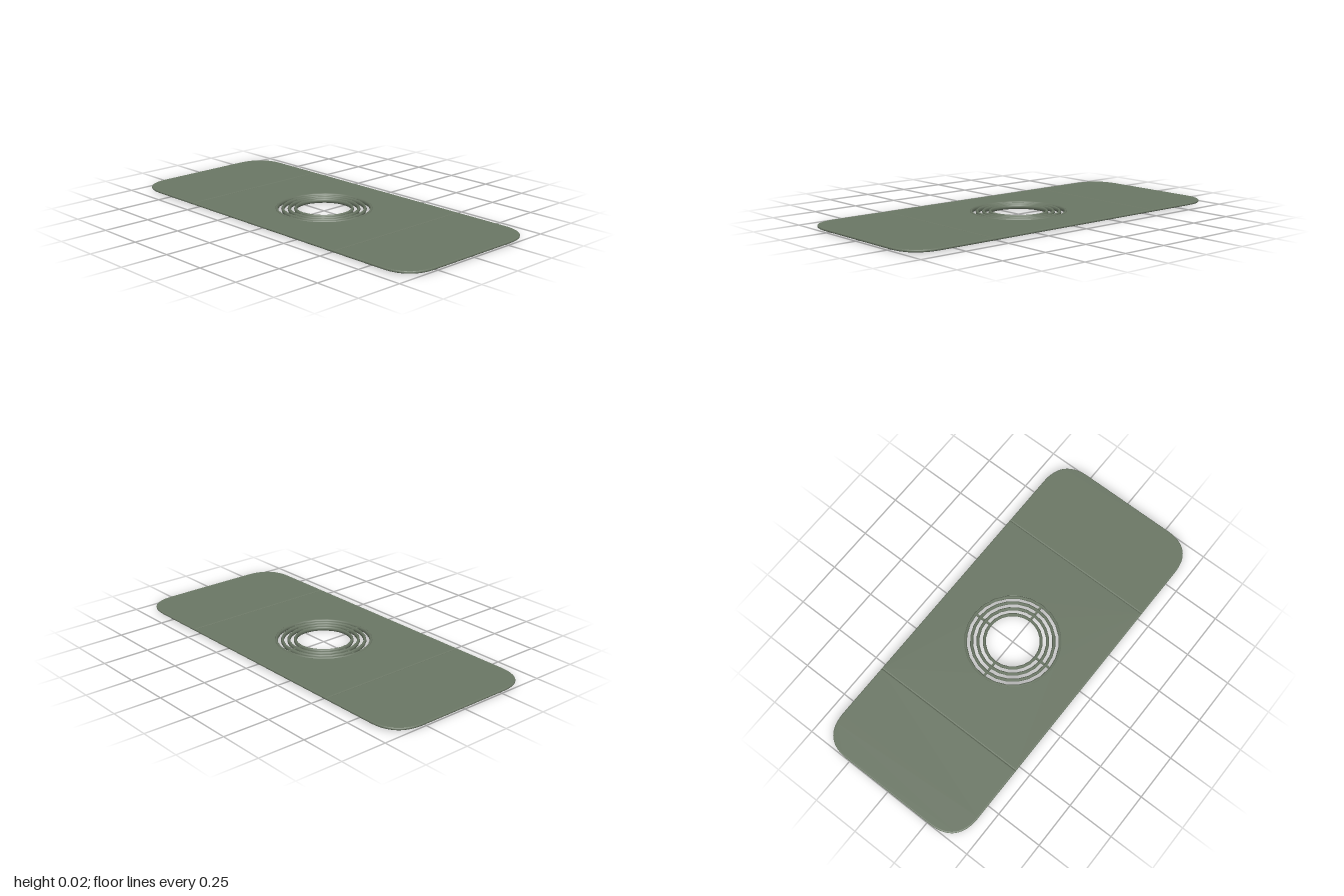
import * as THREE from 'three';

const MID = 0.0125; // height of the centre plane
const BEVEL = 0.006;

export function createModel() {
  const model = new THREE.Group();
  const material = new THREE.MeshStandardMaterial({ color: 0x6b7765 });

  const add = (name, geometry) => {
    const mesh = new THREE.Mesh(geometry, material);
    mesh.name = name;
    mesh.position.y = MID;
    model.add(mesh);
    return mesh;
  };

  // Thin flat panel with softly rounded edges, centred on its own thickness
  const panel = (shape) => {
    const g = new THREE.ExtrudeGeometry(shape, {
      depth: 0.001, bevelEnabled: true, bevelThickness: BEVEL, bevelSize: BEVEL,
      bevelSegments: 3, curveSegments: 24,
    });
    g.translate(0, 0, -0.0005);
    g.rotateX(-Math.PI / 2);
    return g;
  };

  const halfDepth = 0.435 - BEVEL;
  const seam = 0.53;
  const end = 1 - BEVEL;
  const corner = 0.165;

  // Centre panel with the round opening
  const centre = new THREE.Shape();
  const cx = seam - BEVEL;
  centre.moveTo(-cx, -halfDepth);
  centre.lineTo(cx, -halfDepth);
  centre.lineTo(cx, halfDepth);
  centre.lineTo(-cx, halfDepth);
  centre.closePath();
  const hole = new THREE.Path();
  hole.absarc(0, 0, 0.245 + BEVEL, 0, Math.PI * 2, true);
  centre.holes.push(hole);
  add('centrePanel', panel(centre));

  // End panels, rounded on their outer corners and meeting the centre at a groove
  const side = new THREE.Shape();
  side.moveTo(seam + BEVEL, -halfDepth);
  side.lineTo(end - corner, -halfDepth);
  side.quadraticCurveTo(end, -halfDepth, end, -halfDepth + corner);
  side.lineTo(end, halfDepth - corner);
  side.quadraticCurveTo(end, halfDepth, end - corner, halfDepth);
  side.lineTo(seam + BEVEL, halfDepth);
  side.closePath();
  add('leftPanel', panel(side));
  add('rightPanel', panel(side)).rotation.y = Math.PI;

  // Concentric rings of the grille
  [0.147, 0.18, 0.213, 0.245].forEach((radius, i) => {
    const g = new THREE.TorusGeometry(radius, 0.008, 8, 24);
    g.rotateX(-Math.PI / 2);
    g.scale(1, 1.5, 1);
    add('grilleRing' + (i + 1), g);
  });

  // Four spokes tying the rings together
  for (let i = 0; i < 4; i++) {
    const g = new THREE.BoxGeometry(0.1, 0.01, 0.01);
    g.translate(0.196, 0, 0);
    g.rotateY((i * Math.PI) / 2);
    add('grilleSpoke' + (i + 1), g);
  }

  return model;
}
